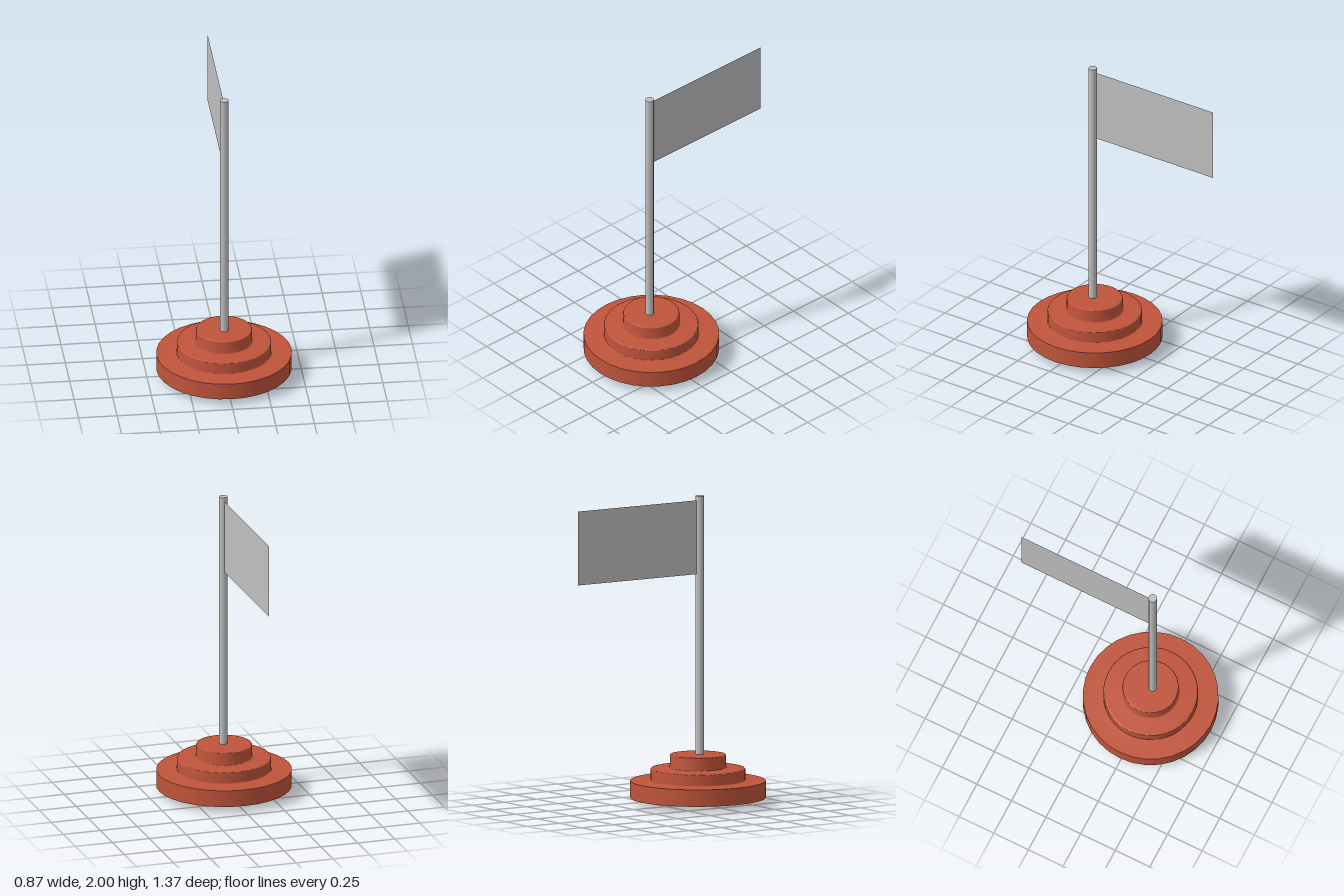
import * as THREE from 'three';

export function createModel() {
  const group = new THREE.Group();
  const terracotta = new THREE.MeshStandardMaterial({ color: 0xc0543b, side: THREE.DoubleSide });
  const grey = new THREE.MeshStandardMaterial({ color: 0xc0c0c0, side: THREE.DoubleSide });

  const add = (name, geometry, material, x, y, z) => {
    const mesh = new THREE.Mesh(geometry, material);
    mesh.name = name;
    mesh.position.set(x, y, z);
    group.add(mesh);
    return mesh;
  };
  const lathe = (points) =>
    new THREE.LatheGeometry(points.map(([r, y]) => new THREE.Vector2(r, y)), 32);

  // Hollow stepped base, open underneath: rim wall, then the steps
  const baseZ = 0.247;
  add('baseRim', lathe([[0.437, 0.04], [0.437, 0.15]]), terracotta, 0, 0, baseZ);
  add('baseSteps', lathe([
    [0.437, 0.15], [0.306, 0.15], [0.305, 0.16],
    [0.305, 0.225], [0.302, 0.23], [0.29, 0.232],
    [0.19, 0.235], [0.181, 0.24],
    [0.181, 0.315], [0.178, 0.32], [0.17, 0.321], [0, 0.321],
  ]), terracotta, 0, 0, baseZ);

  // Pole running through the base down to the ground
  add('pole', new THREE.CylinderGeometry(0.028, 0.028, 2, 12), grey, 0, 1, 0.262);

  // Flat flag sheet flying backwards from the pole
  const flag = add('flag', new THREE.PlaneGeometry(0.93, 0.48), grey, 0, 1.732, -0.22);
  flag.rotation.y = Math.PI / 2;

  return group;
}
